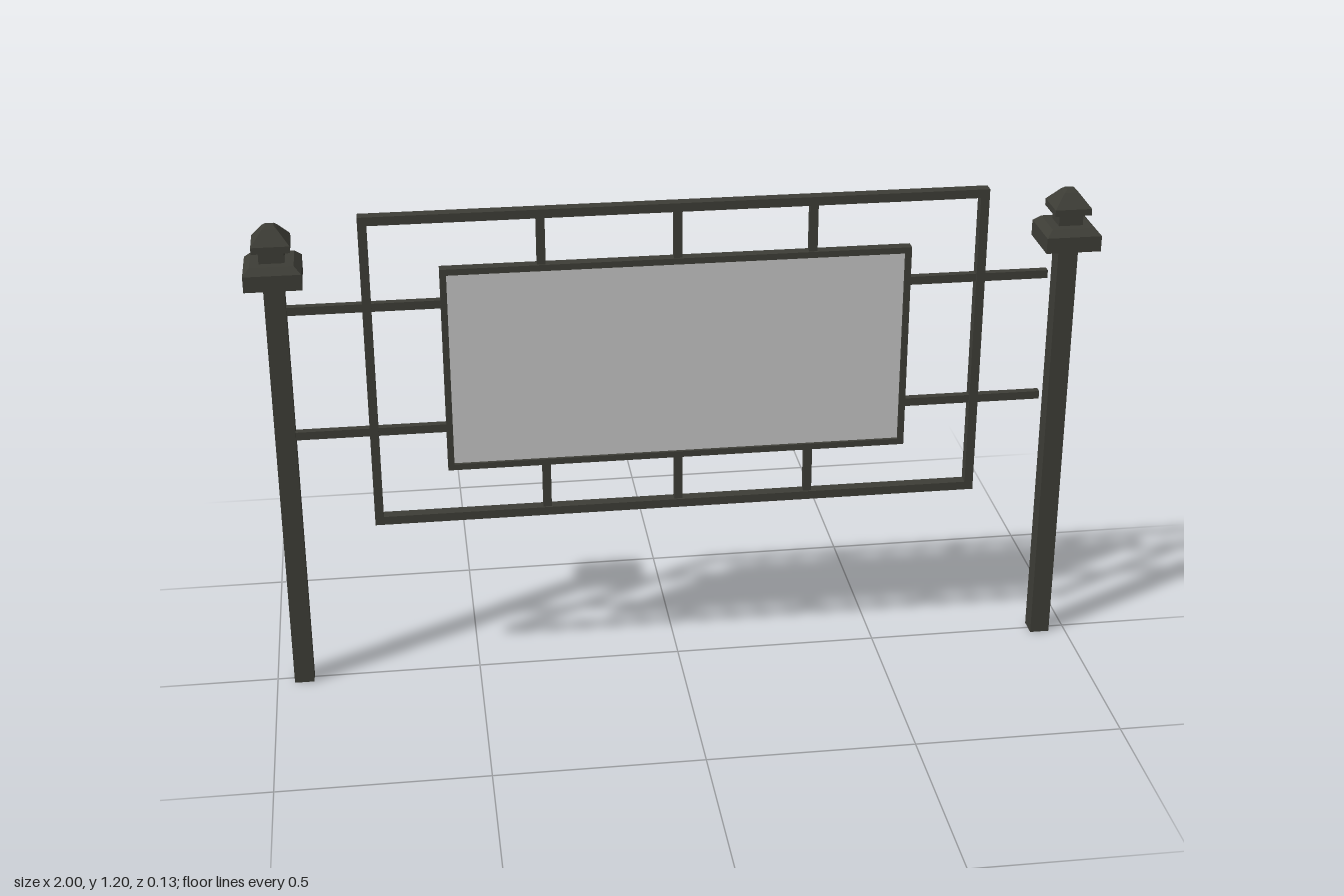
import * as THREE from 'three';

const iron = new THREE.MeshStandardMaterial({ color: 0x3d3d36 });
iron.name = 'dark iron';
const sheet = new THREE.MeshStandardMaterial({ color: 0xc6c6c6 });
sheet.name = 'pale grey sheet';

// Box given by its x and y limits, centred on z = 0
function bar(name, x0, x1, y0, y1, depth, material = iron) {
  const mesh = new THREE.Mesh(new THREE.BoxGeometry(x1 - x0, y1 - y0, depth), material);
  mesh.position.set((x0 + x1) / 2, (y0 + y1) / 2, 0);
  mesh.name = name;
  return mesh;
}

// Rectangular frame of four bars
function frame(name, x, y0, y1, t, depth) {
  const g = new THREE.Group();
  g.name = name;
  g.add(
    bar('bottomRail', -x, x, y0, y0 + t, depth),
    bar('topRail', -x, x, y1 - t, y1, depth),
    bar('rightStile', -x, -x + t, y0 + t, y1 - t, depth),
    bar('leftStile', x - t, x, y0 + t, y1 - t, depth),
  );
  return g;
}

// Square block tapering from half-width a to half-width b
function taper(name, a, b, y0, y1) {
  const geo = new THREE.CylinderGeometry(b * Math.SQRT2, a * Math.SQRT2, y1 - y0, 4).toNonIndexed();
  geo.rotateY(Math.PI / 4);
  geo.computeVertexNormals();
  const mesh = new THREE.Mesh(geo, iron);
  mesh.position.y = (y0 + y1) / 2;
  mesh.name = name;
  return mesh;
}

// Square post with a stepped cap and finial
function post(name, x) {
  const g = new THREE.Group();
  g.name = name;
  g.position.x = x;
  g.add(
    taper('shaft', 0.024, 0.024, 0, 1.054),
    taper('capSlab', 0.066, 0.066, 1.054, 1.092),
    taper('capBevel', 0.066, 0.05, 1.092, 1.108),
    taper('neck', 0.029, 0.029, 1.108, 1.137),
    taper('finialBase', 0.044, 0.044, 1.137, 1.153),
    taper('finialSlope', 0.044, 0.017, 1.153, 1.186),
    taper('finialTip', 0.017, 0.01, 1.186, 1.192),
  );
  return g;
}

export function createModel() {
  const model = new THREE.Group();
  model.name = 'signFrame';
  model.add(post('rightPost', -0.934), post('leftPost', 0.934));

  // Outer and inner frames with the sign panel
  model.add(frame('outerFrame', 0.737, 0.418, 1.203, 0.021, 0.028));
  model.add(frame('panelFrame', 0.556, 0.553, 1.067, 0.015, 0.027));
  model.add(bar('panel', -0.542, 0.542, 0.567, 1.053, 0.012, sheet));

  // Side bars; they stop just short of the left post
  for (const y of [0.663, 0.98]) {
    model.add(bar('rightSideBar', -0.93, -0.55, y - 0.01, y + 0.01, 0.018));
    model.add(bar('leftSideBar', 0.55, 0.892, y - 0.01, y + 0.01, 0.018));
  }

  // Short struts joining the two frames
  for (const x of [-0.32, 0, 0.32]) {
    model.add(bar('lowerStrut', x - 0.01, x + 0.01, 0.43, 0.56, 0.018));
    model.add(bar('upperStrut', x - 0.01, x + 0.01, 1.06, 1.19, 0.018));
  }
  return model;
}
